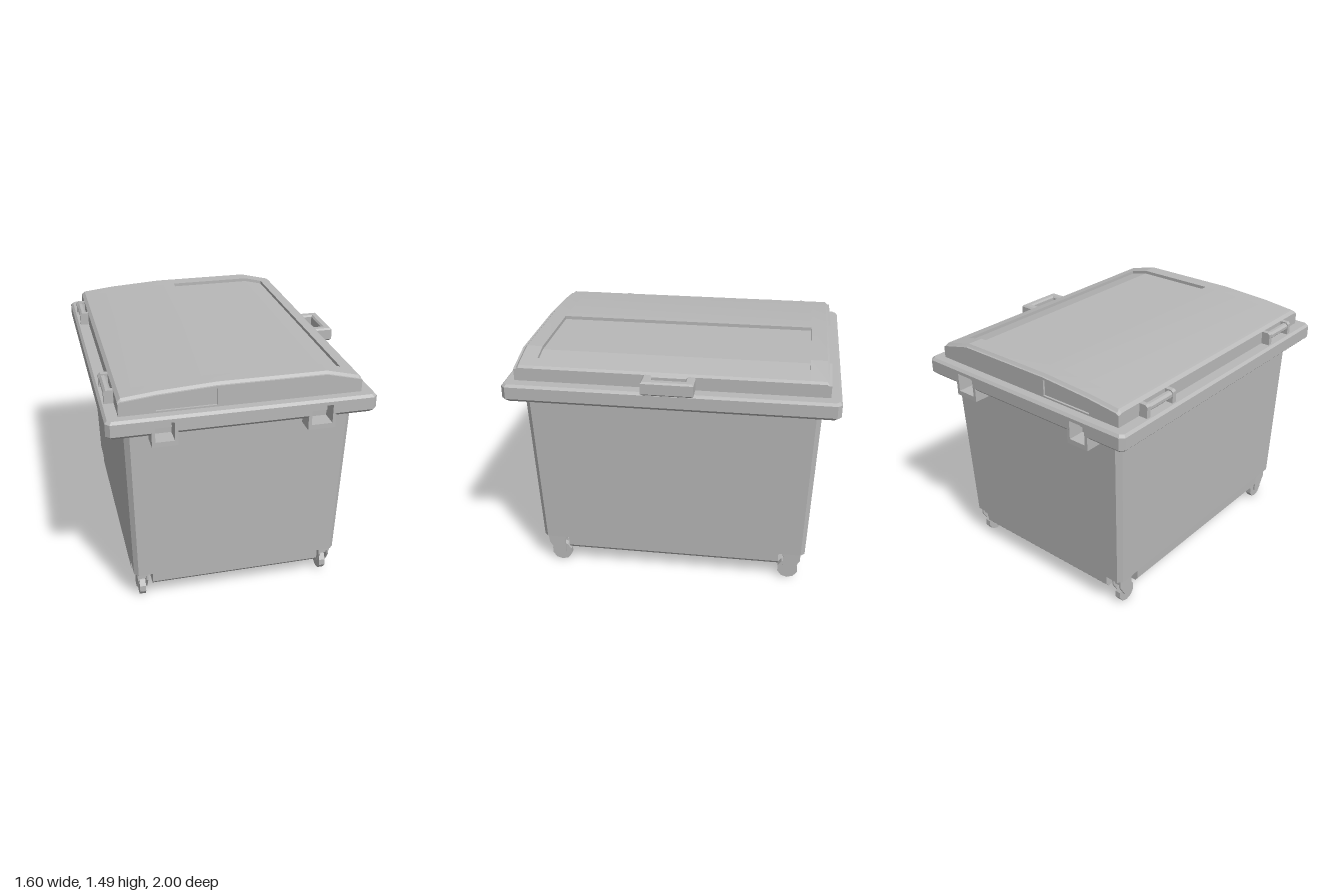
import * as THREE from 'three';
import { toCreasedNormals } from 'three/addons/utils/BufferGeometryUtils.js';

const grey = new THREE.MeshStandardMaterial({ color: 0xb8b8b8 });
grey.name = 'grey plastic';

// Capped loft through rings [height, outline]; outlines are counter-clockwise (u, v) lists
function loft(rings) {
  const pos = [];
  const put = (w, ...pts) => pts.forEach(p => pos.push(p[0], p[1], w));
  for (let r = 0; r < rings.length - 1; r++) {
    const [w0, a] = rings[r], [w1, b] = rings[r + 1];
    a.forEach((p, i) => {
      const j = (i + 1) % a.length;
      put(w0, p, a[j]); put(w1, b[j]);
      put(w0, p); put(w1, b[j], b[i]);
    });
  }
  const cap = ([w, o], flip) => {
    const faces = THREE.ShapeUtils.triangulateShape(o.map(p => new THREE.Vector2(...p)), []);
    faces.forEach(([i, j, k]) => (flip ? put(w, o[i], o[k], o[j]) : put(w, o[i], o[j], o[k])));
  };
  cap(rings[0], true);
  cap(rings[rings.length - 1], false);
  const g = new THREE.BufferGeometry();
  g.setAttribute('position', new THREE.Float32BufferAttribute(pos, 3));
  g.computeVertexNormals();
  return g;
}

// Turns (u, v, height) into (z, x, y)
const upright = new THREE.Matrix4().makeBasis(
  new THREE.Vector3(0, 0, 1), new THREE.Vector3(1, 0, 0), new THREE.Vector3(0, 1, 0));
const loftY = rings => loft(rings).applyMatrix4(upright);

// Rectangle with cut corners as (z, x) points, with optional notches in the z sides
function outline(x0, x1, z, c, notches = [], depth = 0) {
  const side = notches.flatMap(([a, b]) => [[z, a], [depth, a], [depth, b], [z, b]]);
  const other = side.map(([u, v]) => [-u, v]).reverse();
  return [[c - z, x0], [z - c, x0], [z, x0 + c], ...side, [z, x1 - c],
    [z - c, x1], [c - z, x1], [-z, x1 - c], ...other, [-z, x0 + c]];
}

// Rectangle with the caster corners taken out
function cornerless(x0, x1, z) {
  const a = -0.55, b = 0.52, n = 0.69;
  return [[-n, x0], [n, x0], [n, a], [z, a], [z, b], [n, b],
    [n, x1], [-n, x1], [-n, b], [-z, b], [-z, a], [-n, a]];
}

const shapeOf = pts => new THREE.Shape(pts.map(p => new THREE.Vector2(...p)));
const extrude = (shape, depth) => new THREE.ExtrudeGeometry(shape, { depth, bevelEnabled: false });

export function createModel() {
  const model = new THREE.Group();
  const add = (name, geo, x = 0, y = 0, z = 0, parent = model) => {
    const m = new THREE.Mesh(geo, grey);
    m.name = name;
    m.position.set(x, y, z);
    parent.add(m);
    return m;
  };
  const box = (name, w, h, d, x, y, z, parent) =>
    add(name, new THREE.BoxGeometry(w, h, d), x, y, z, parent);

  // Tapered body with recessed lower corners
  add('bodyBase', loftY([
    [0.12, cornerless(-0.645, 0.615, 0.838)],
    [0.14, cornerless(-0.66, 0.63, 0.855)],
    [0.2, cornerless(-0.662, 0.632, 0.857)]]));
  add('body', loftY([
    [0.2, outline(-0.662, 0.632, 0.857, 0.025)],
    [1.25, outline(-0.69, 0.66, 0.896, 0.03)]]));

  // Rim, open at the lifting sockets
  const sockets = [[-0.53, -0.42], [0.375, 0.5]];
  add('rimLower', loftY([
    [1.24, outline(-0.78, 0.75, 0.98, 0.02, sockets, 0.91)],
    [1.26, outline(-0.8, 0.77, 1, 0.025, sockets, 0.91)],
    [1.315, outline(-0.8, 0.77, 1, 0.025, sockets, 0.91)]]));
  add('rimUpper', loftY([
    [1.315, outline(-0.8, 0.77, 1, 0.025)],
    [1.335, outline(-0.8, 0.77, 1, 0.025)],
    [1.35, outline(-0.785, 0.755, 0.985, 0.02)]]));

  // Lifting socket cups under the rim
  for (const [a, b] of sockets) {
    const u = shapeOf([[a - 0.02, 1.17], [b + 0.02, 1.17], [b + 0.02, 1.262],
      [b, 1.262], [b, 1.2], [a, 1.2], [a, 1.262], [a - 0.02, 1.262]]);
    for (const s of [1, -1])
      add('liftingSocket', extrude(u, 0.119), 0, 0, s > 0 ? 0.88 : -0.999);
  }

  // Domed lid: sunken panel in the middle, chamfered ends with a recessed plate
  const profile = drop => [[-0.72, 1.35], [0.69, 1.35], [0.69, 1.43 - drop / 2], [0.675, 1.443 - drop],
    [0.48, 1.49 - drop], [-0.16, 1.49 - drop], [-0.5, 1.47 - drop], [-0.7, 1.448 - drop], [-0.72, 1.43 - drop / 2]];
  const sunken = profile(0);
  sunken.splice(4, 1, [0.6, 1.461], [0.6, 1.441], [0.48, 1.469], [-0.06, 1.469], [-0.06, 1.49]);
  add('lidPanel', toCreasedNormals(loft([[-0.81, sunken], [0.81, sunken]]), 0.2));
  const endPlate = shapeOf(profile(0.015));
  endPlate.holes.push(new THREE.Path(
    [[-0.51, 1.36], [-0.51, 1.435], [-0.165, 1.46], [-0.165, 1.36]].map(p => new THREE.Vector2(...p))));
  for (const s of [1, -1]) {
    const rings = [[0.81 * s, profile(0)], [0.908 * s, profile(0)], [0.922 * s, profile(0.015)]];
    if (s < 0) rings.reverse();
    add('lidEnd', toCreasedNormals(loft(rings), 0.2));
    add('lidEndFrame', extrude(endPlate, 0.013), 0, 0, s > 0 ? 0.922 : -0.935);
  }

  // Lid handle with a finger opening
  const grip = shapeOf([[0.69, -0.145], [0.79, -0.145], [0.79, 0.145], [0.69, 0.145]]);
  grip.holes.push(new THREE.Path(
    [[0.69, -0.11], [0.69, 0.11], [0.76, 0.11], [0.76, -0.11]].map(p => new THREE.Vector2(...p))));
  const handleGeo = new THREE.ExtrudeGeometry(grip,
    { depth: 0.065, bevelThickness: 0.01, bevelSize: 0.01, bevelSegments: 1 });
  add('lidHandle', handleGeo.rotateX(-Math.PI / 2), 0, 1.357, 0);

  // Hinges
  for (const s of [1, -1]) {
    const hinge = new THREE.Group();
    hinge.name = 'hinge';
    hinge.position.set(0, 0, 0.63 * s);
    model.add(hinge);
    const lug = shapeOf([[-0.775, 1.35], [-0.715, 1.35], [-0.715, 1.43], [-0.762, 1.43], [-0.775, 1.418]]);
    for (const z of [-0.13, 0.1]) add('hingeLug', extrude(lug, 0.03), 0, 0, z, hinge);
    const pin = new THREE.CylinderGeometry(0.024, 0.024, 0.22, 8).toNonIndexed();
    pin.computeVertexNormals();
    add('hingePin', pin.rotateX(Math.PI / 2).rotateZ(Math.PI / 8), -0.75, 1.4, 0, hinge);
  }

  // Casters in the recessed corners
  for (const x of [-0.608, 0.578]) for (const s of [1, -1]) {
    const caster = new THREE.Group();
    caster.name = 'caster';
    caster.position.set(x, 0, 0.753 * s);
    if (s < 0) caster.rotation.y = Math.PI;
    model.add(caster);
    box('casterPlate', 0.07, 0.03, 0.12, 0, 0.187, 0.02, caster);
    const fork = shapeOf([[0.03, 0.18], [-0.078, 0.18], [-0.078, 0.14], [-0.03, 0.06],
      [0, 0.05], [0.03, 0.06]]);
    for (const side of [-0.033, 0.021])
      add('casterFork', extrude(fork, 0.012).rotateY(Math.PI / 2), side, 0, 0, caster);
    box('casterNeck', 0.05, 0.03, 0.09, 0, 0.16, 0.02, caster);
    const wheel = new THREE.CylinderGeometry(0.067, 0.067, 0.038, 10).toNonIndexed();
    wheel.computeVertexNormals();
    add('wheel', wheel.rotateZ(Math.PI / 2).rotateX(Math.PI / 10), 0, 0.064, 0, caster);
  }
  return model;
}
